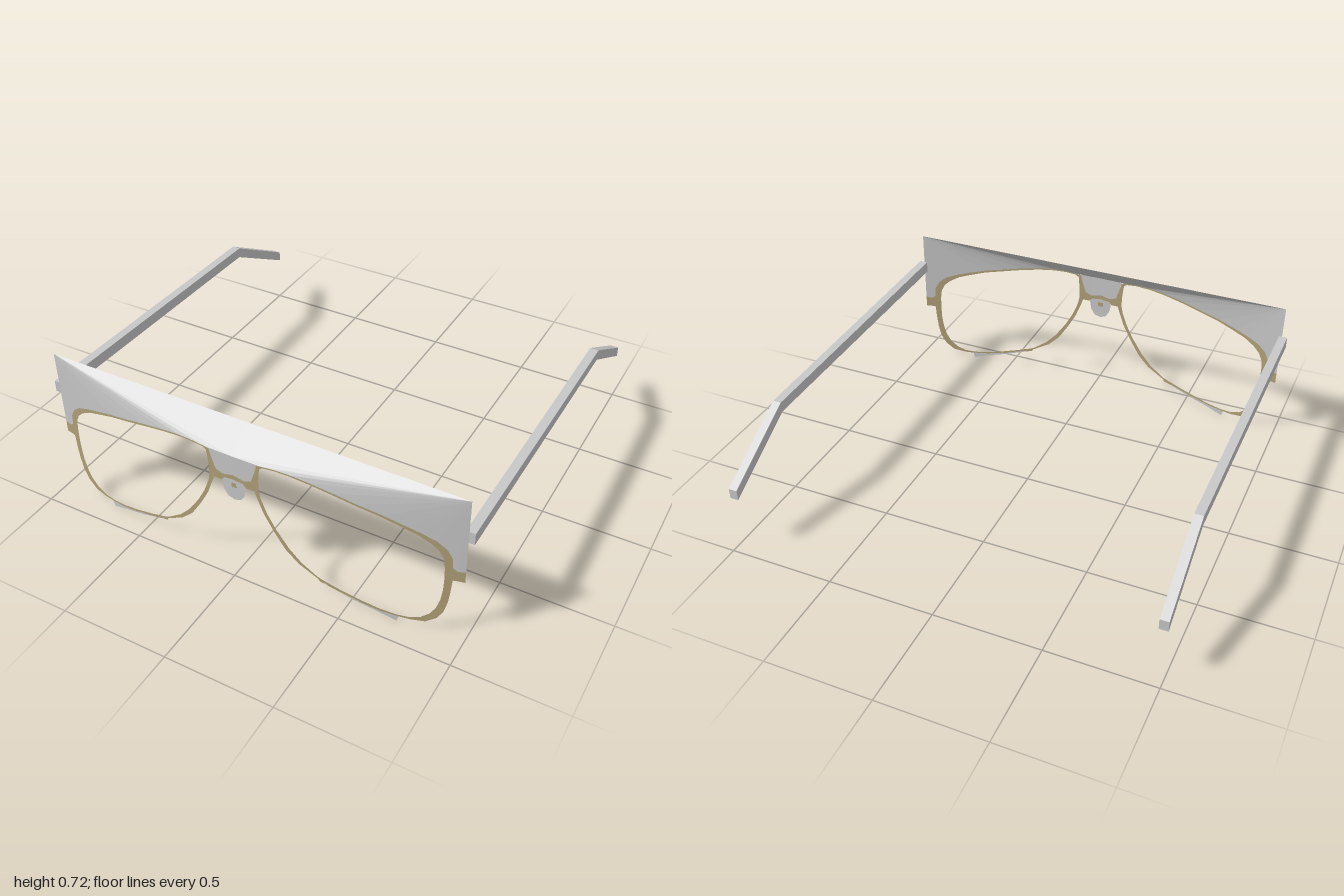
import * as THREE from 'three';

// Everything in the front lies on one gently bowed sheet
const bowZ = (x) => 0.955 - 0.116 * x * x;
const onBow = ([x, y]) => [x, y, bowZ(x)];

// Lens rim, as [inner x, y, outer x, y] around one eye
const RIM = [
  [0.125, 0.606, 0.112, 0.618], [0.14, 0.617, 0.132, 0.623], [0.19, 0.622, 0.19, 0.628],
  [0.26, 0.62, 0.26, 0.627], [0.34, 0.61, 0.34, 0.618], [0.44, 0.591, 0.442, 0.6],
  [0.54, 0.568, 0.543, 0.577], [0.64, 0.546, 0.645, 0.556], [0.73, 0.518, 0.738, 0.53],
  [0.79, 0.497, 0.80, 0.511], [0.84, 0.468, 0.86, 0.487], [0.87, 0.44, 0.90, 0.455],
  [0.888, 0.405, 0.922, 0.415], [0.894, 0.36, 0.925, 0.365], [0.895, 0.30, 0.927, 0.30],
  [0.893, 0.24, 0.922, 0.235], [0.885, 0.18, 0.915, 0.175], [0.87, 0.13, 0.90, 0.115],
  [0.848, 0.09, 0.875, 0.072], [0.81, 0.056, 0.83, 0.037], [0.765, 0.039, 0.77, 0.028],
  [0.71, 0.036, 0.71, 0.028], [0.64, 0.044, 0.64, 0.033], [0.56, 0.062, 0.563, 0.05],
  [0.47, 0.087, 0.473, 0.074], [0.39, 0.113, 0.382, 0.098], [0.37, 0.122, 0.375, 0.11],
  [0.3, 0.172, 0.288, 0.16], [0.245, 0.23, 0.232, 0.214], [0.228, 0.255, 0.213, 0.242],
  [0.19, 0.31, 0.174, 0.304], [0.152, 0.38, 0.134, 0.378], [0.125, 0.45, 0.105, 0.455],
  [0.117, 0.49, 0.097, 0.48], [0.118, 0.54, 0.092, 0.55], [0.122, 0.58, 0.105, 0.59],
];
const FIRST_BROW = 1, LAST_BROW = 13; // rim points that carry the brow panel

// Flat-faced geometry from triangles, mirrored for side = -1
function sheet(triangles, side = 1) {
  const data = [];
  for (const [a, b, c] of triangles) {
    for (const p of side > 0 ? [a, b, c] : [a, c, b]) data.push(p[0] * side, p[1], p[2]);
  }
  const geometry = new THREE.BufferGeometry();
  geometry.setAttribute('position', new THREE.Float32BufferAttribute(data, 3));
  geometry.computeVertexNormals();
  return geometry;
}

// Strip between paired points [x, y, x, y] on the bowed sheet
function strip(pairs) {
  const tris = [];
  for (let i = 0; i + 1 < pairs.length; i++) {
    const [a, b] = [pairs[i], pairs[i + 1]];
    const a0 = onBow(a.slice(0, 2)), a1 = onBow(a.slice(2));
    const b0 = onBow(b.slice(0, 2)), b1 = onBow(b.slice(2));
    tris.push([a0, a1, b1], [a0, b1, b0]);
  }
  return tris;
}

const fan = (apex, points) => points.slice(1).map((p, i) => [apex, points[i], p]);

export function createModel() {
  const grey = new THREE.MeshStandardMaterial({ color: 0xc8c8c8, side: THREE.DoubleSide });
  const tan = new THREE.MeshStandardMaterial({ color: 0xb0a178, side: THREE.DoubleSide });
  grey.name = 'grey';
  tan.name = 'tan';
  const model = new THREE.Group();
  model.name = 'glasses';
  const add = (name, geometry, material) => {
    const mesh = new THREE.Mesh(geometry, material);
    mesh.name = name;
    model.add(mesh);
    return mesh;
  };

  const corner = [0.975, 0.722, 0.845];
  const middle = [0, 0.623, bowZ(0)];
  const browEdge = RIM.slice(FIRST_BROW, LAST_BROW + 1).map((p) => onBow(p.slice(2)));

  // Temple side profile as (z, y), bent down behind the ear
  const profile = new THREE.Shape([
    [0.845, 0.515], [0.845, 0.57], [-0.565, 0.54], [-0.955, 0.32], [-0.955, 0.27], [-0.56, 0.49],
  ].map(([z, y]) => new THREE.Vector2(-z, y)));

  for (const side of [1, -1]) {
    const label = side > 0 ? 'left' : 'right';

    add(label + 'Rim', sheet(strip([...RIM, RIM[0]]), side), tan);

    // Hinge tab on the outer side of the rim
    add(label + 'HingeTab', sheet(strip([
      [0.925, 0.365, 0.927, 0.30], [0.945, 0.352, 0.945, 0.302], [0.975, 0.358, 0.975, 0.302],
    ]), side), tan);

    // Brow panel fanning from the swept-back top corner to the rim
    add(label + 'Brow', sheet(
      fan(corner, [middle, ...browEdge, onBow([0.945, 0.352]), onBow([0.975, 0.358])]), side), grey);
    add(label + 'BrowTop', sheet([[[0, 0.722, 0.845], middle, corner]], side), grey);

    // Centre panel and arch between the lenses
    add(label + 'BridgePanel', sheet(strip([
      [0, 0.623, 0, 0.525], [0.05, 0.623, 0.05, 0.513], [0.08, 0.623, 0.083, 0.525],
      [0.10, 0.623, 0.092, 0.55], [0.112, 0.621, 0.105, 0.59], [0.132, 0.623, 0.112, 0.618],
    ]), side), grey);
    add(label + 'BridgeArch', sheet(strip([
      [0, 0.525, 0, 0.502], [0.05, 0.513, 0.045, 0.496],
      [0.083, 0.525, 0.06, 0.48], [0.092, 0.55, 0.097, 0.48],
    ]), side), tan);

    // Small plate under the lens
    add(label + 'LowerPlate', sheet(strip([
      [0.40, 0.098, 0.40, 0.094], [0.54, 0.058, 0.535, 0.05],
      [0.64, 0.036, 0.63, 0.026], [0.722, 0.028, 0.714, 0.0],
    ]), side), grey);

    // Temple arm
    const arm = new THREE.ExtrudeGeometry(profile, { depth: 0.04, bevelEnabled: false });
    arm.rotateY(Math.PI / 2);
    arm.translate(side > 0 ? 0.96 : -1, 0, 0);
    add(label + 'Temple', arm, grey);
  }

  // Nose piece hanging from the arch, with its pin
  const nose = [
    [0, 0.502], [-0.045, 0.496], [-0.058, 0.48], [-0.05, 0.435], [-0.03, 0.405], [0, 0.395],
    [0.03, 0.405], [0.05, 0.435], [0.058, 0.48], [0.045, 0.496], [0, 0.502],
  ].map(onBow);
  add('nosePiece', sheet(fan(onBow([0, 0.46]), nose)), grey);
  add('nosePin', new THREE.BoxGeometry(0.022, 0.022, 0.006), tan).position.set(0, 0.473, 0.953);

  return model;
}
